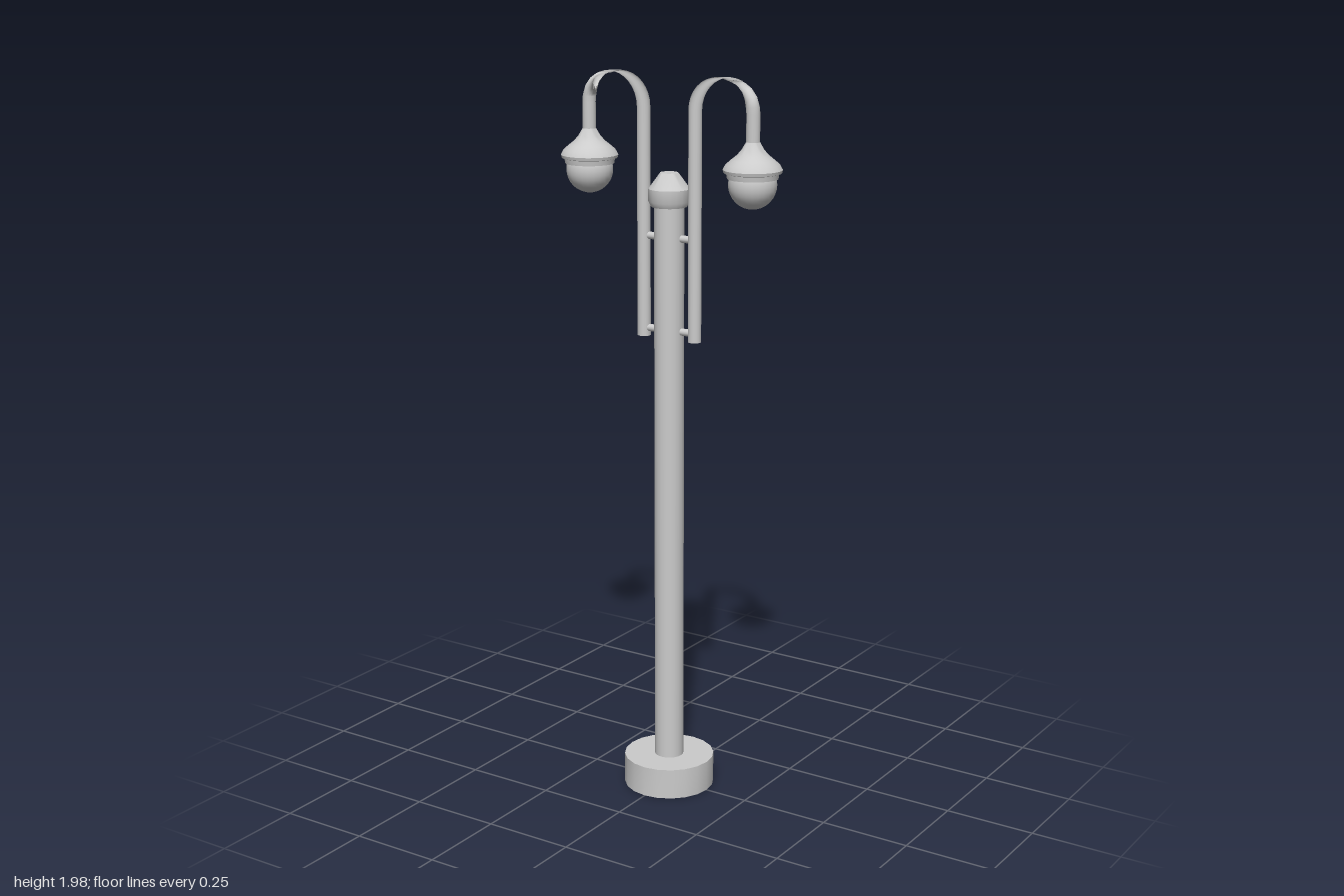
import * as THREE from 'three';
import { toCreasedNormals } from 'three/addons/utils/BufferGeometryUtils.js';

const material = new THREE.MeshStandardMaterial({ color: 0xcccccc });

function addPart(parent, name, geometry, x = 0, y = 0) {
  const mesh = new THREE.Mesh(geometry, material);
  mesh.name = name;
  mesh.position.set(x, y, 0);
  parent.add(mesh);
  return mesh;
}

// Turned part with sharp edges kept; profile runs from bottom to top
function turned(profile, sides) {
  const points = profile.map(([r, y]) => new THREE.Vector2(r, y));
  return toCreasedNormals(new THREE.LatheGeometry(points, sides), 0.6);
}

// Pipe that rises beside the pole, bends over in a half circle and drops to the lamp
function armPath(inner, outer, bottom, end, bendY) {
  const path = new THREE.CurvePath();
  const centre = (inner + outer) / 2, radius = (outer - inner) / 2;
  const bend = [];
  for (let i = 0; i <= 16; i++) {
    const a = Math.PI * (1 - i / 16);
    bend.push(new THREE.Vector3(centre + radius * Math.cos(a), bendY + radius * Math.sin(a), 0));
  }
  const points = [new THREE.Vector3(inner, bottom, 0), ...bend, new THREE.Vector3(outer, end, 0)];
  for (let i = 1; i < points.length; i++) path.add(new THREE.LineCurve3(points[i - 1], points[i]));
  // Sample straight runs and bend evenly by segment
  path.getPointAt = path.getPoint = (t) => {
    const s = Math.min(t, 1) * (points.length - 1);
    const i = Math.min(Math.floor(s), points.length - 2);
    return points[i].clone().lerp(points[i + 1], s - i);
  };
  return { path, segments: points.length - 1 };
}

function createArm(side) {
  const arm = new THREE.Group();
  arm.name = side > 0 ? 'leftArm' : 'rightArm';
  const inner = 0.08, outer = 0.254, pipeR = 0.018;

  // Curved pipe with a closed lower end
  const { path, segments } = armPath(inner, outer, 1.283, 1.79, 1.895);
  addPart(arm, 'curvedPipe', new THREE.TubeGeometry(path, segments, pipeR, 16));
  const cap = addPart(arm, 'pipeEndCap', new THREE.CircleGeometry(pipeR, 16), inner, 1.283);
  cap.rotation.x = Math.PI / 2;

  // Short pegs that hold the pipe to the pole
  for (const y of [1.305, 1.555]) {
    const peg = addPart(arm, 'bracketPeg', new THREE.CylinderGeometry(0.01, 0.01, 0.05, 12), 0.055, y);
    peg.rotation.z = Math.PI / 2;
  }

  // Flared shade with a stepped ring below it
  addPart(arm, 'lampShade', turned([
    [0, 1.732], [0.066, 1.732], [0.068, 1.745], [0.075, 1.747], [0.077, 1.755],
    [0.07, 1.768], [0.056, 1.78], [0.041, 1.792], [0.029, 1.806], [0.018, 1.825],
  ], 24), outer);
  addPart(arm, 'lampGlobe', new THREE.SphereGeometry(0.063, 24, 16), outer, 1.716);

  // Half turn places the opposite arm
  if (side < 0) arm.rotation.y = Math.PI;
  return arm;
}

export function createModel() {
  const model = new THREE.Group();
  model.name = 'streetLamp';

  addPart(model, 'base', toCreasedNormals(new THREE.CylinderGeometry(0.125, 0.125, 0.085, 20), 0.6), 0, 0.0425);
  addPart(model, 'pole', new THREE.CylinderGeometry(0.04, 0.04, 1.58, 20), 0, 0.865);
  addPart(model, 'poleCap', turned([
    [0, 1.638], [0.048, 1.638], [0.055, 1.652], [0.055, 1.685], [0.024, 1.727], [0, 1.727],
  ], 20));

  for (const side of [1, -1]) model.add(createArm(side));
  return model;
}
